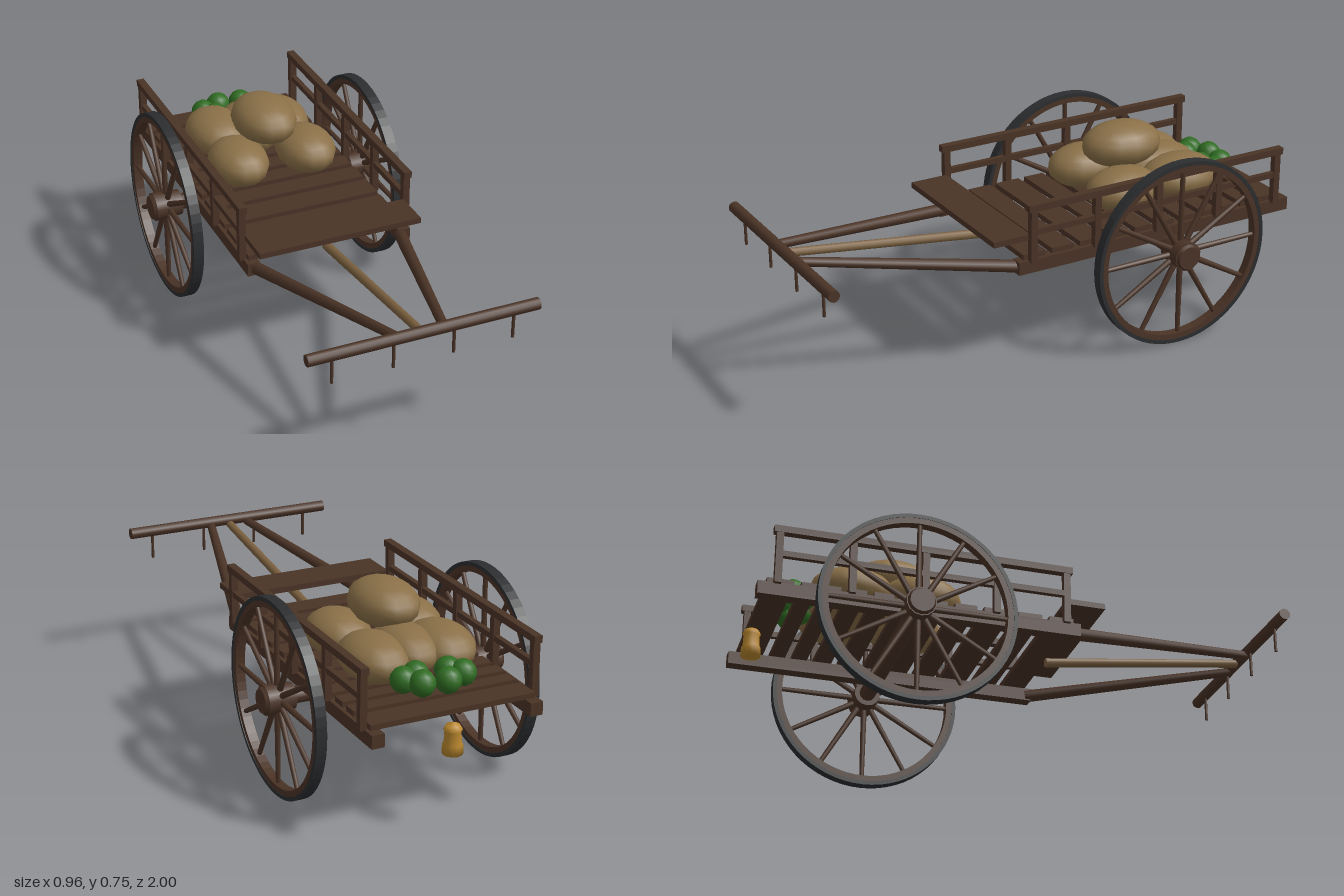
import * as THREE from 'three';

const mat = (name, color) => {
  const m = new THREE.MeshStandardMaterial({ color });
  m.name = name;
  return m;
};

export function createModel() {
  const cart = new THREE.Group();
  cart.name = 'cart';
  const wood = mat('dark wood', 0x4a3326);
  const iron = mat('iron', 0x2b2d2f);
  const paleWood = mat('pale wood', 0x7a5f3e);
  const sackCloth = mat('sackcloth', 0x8a7048);
  const green = mat('melon green', 0x2f6b22);
  const brass = mat('brass', 0xb8862e);

  const add = (name, geo, material, x = 0, y = 0, z = 0, parent = cart) => {
    const m = new THREE.Mesh(geo, material);
    m.name = name;
    m.position.set(x, y, z);
    parent.add(m);
    return m;
  };
  const box = (name, w, h, d, x, y, z) => add(name, new THREE.BoxGeometry(w, h, d), wood, x, y, z);

  // Round bar between two points
  const bar = (name, a, b, r0, r1, material, parent = cart, sides = 10) => {
    const p = new THREE.Vector3(...a), q = new THREE.Vector3(...b);
    const m = add(name, new THREE.CylinderGeometry(r1, r0, p.distanceTo(q), sides), material, 0, 0, 0, parent);
    m.position.copy(p).add(q).multiplyScalar(0.5);
    m.quaternion.setFromUnitVectors(new THREE.Vector3(0, 1, 0), q.sub(p).normalize());
    return m;
  };

  // Flat ring centred on z = 0
  const ring = (outer, inner, width) => {
    const s = new THREE.Shape();
    s.absarc(0, 0, outer, 0, Math.PI * 2);
    const hole = new THREE.Path();
    hole.absarc(0, 0, inner, 0, Math.PI * 2, true);
    s.holes.push(hole);
    const g = new THREE.ExtrudeGeometry(s, { depth: width, bevelEnabled: false, curveSegments: 32 });
    return g.translate(0, 0, -width / 2);
  };

  // Bed: slats of uneven width, given by the gaps between them
  const gaps = [-0.98, -0.855, -0.77, -0.685, -0.59, -0.49, -0.39, -0.29, -0.18, -0.05, 0.07, 0.19];
  for (let i = 0; i < gaps.length - 1; i++) {
    const depth = gaps[i + 1] - gaps[i] - 0.027;
    box('bedSlat', 0.63, 0.02, depth, 0, 0.447, (gaps[i] + gaps[i + 1]) / 2);
  }
  // Driver's board
  box('seatBoard', 0.64, 0.022, 0.15, 0, 0.525, 0.225);

  for (const s of [-1, 1]) {
    // Side beam, shaft and fence
    box('sideBeam', 0.048, 0.05, 1.2, s * 0.303, 0.41, -0.4);
    bar('shaft', [s * 0.295, 0.407, 0.18], [s * 0.08, 0.525, 0.97], 0.024, 0.017, wood);
    box('topRail', 0.03, 0.026, 1.12, s * 0.329, 0.643, -0.393);
    box('middleRail', 0.02, 0.022, 1.1, s * 0.329, 0.548, -0.393);
    for (let i = 0; i < 5; i++) box('fencePost', 0.026, 0.22, 0.026, s * 0.329, 0.54, 0.145 - i * 0.269);
    for (const x of [0.113, 0.34]) bar('yokePeg', [s * x, 0.425, 0.975], [s * x, 0.54, 0.975], 0.006, 0.006, wood, cart, 8);

    // Wheel, built facing z and turned to face sideways
    const wheel = new THREE.Group();
    wheel.name = s > 0 ? 'leftWheel' : 'rightWheel';
    wheel.position.set(s * 0.415, 0.366, -0.44);
    wheel.rotation.y = s * Math.PI / 2;
    cart.add(wheel);
    add('tyre', ring(0.365, 0.35, 0.04), iron, 0, 0, 0, wheel);
    add('rim', ring(0.351, 0.328, 0.036), wood, 0, 0, 0, wheel);
    for (let i = 0; i < 12; i++) {
      const a = i * Math.PI / 6, c = Math.cos(a), n = Math.sin(a);
      bar('spoke', [c * 0.03, n * 0.03, 0], [c * 0.335, n * 0.335, 0], 0.012, 0.009, wood, wheel, 8);
    }
    bar('hub', [0, 0, -0.055], [0, 0, 0.052], 0.05, 0.056, wood, wheel, 14);
    bar('hubCap', [0, 0, 0.05], [0, 0, 0.064], 0.053, 0.045, wood, wheel, 14);
  }
  bar('axle', [-0.38, 0.366, -0.44], [0.38, 0.366, -0.44], 0.031, 0.031, wood, cart, 12);

  // Yoke and centre pole
  bar('yoke', [-0.433, 0.54, 0.977], [0.433, 0.54, 0.977], 0.022, 0.022, wood, cart, 12);
  bar('centrePole', [0, 0.42, 0.17], [0, 0.525, 0.965], 0.018, 0.016, paleWood);

  // Load of sacks: centre then radii
  const sacks = [
    [-0.14, 0.54, -0.36, 0.115, 0.085, 0.15], [0.14, 0.54, -0.36, 0.115, 0.085, 0.15],
    [-0.13, 0.54, -0.62, 0.12, 0.085, 0.16], [0.13, 0.54, -0.62, 0.12, 0.085, 0.16],
    [0, 0.545, -0.6, 0.11, 0.085, 0.165], [0, 0.662, -0.44, 0.123, 0.086, 0.163],
  ];
  for (const [x, y, z, rx, ry, rz] of sacks) {
    add('sack', new THREE.SphereGeometry(1, 14, 10), sackCloth, x, y, z).scale.set(rx, ry, rz);
  }

  // Melons behind the sacks
  for (const [x, z] of [[-0.105, -0.835], [-0.027, -0.872], [0.066, -0.86], [0.11, -0.805], [-0.07, -0.79], [0.05, -0.78]]) {
    add('melon', new THREE.SphereGeometry(0.048, 12, 8), green, x, 0.52, z);
  }

  // Lantern hung at the back
  const profile = [[0, 0.29], [0.037, 0.29], [0.036, 0.325], [0.031, 0.33], [0.029, 0.375], [0.034, 0.38], [0.025, 0.395], [0, 0.405]];
  const lantern = new THREE.LatheGeometry(profile.map(p => new THREE.Vector2(...p)), 12);
  add('lantern', lantern, brass, 0, 0, -0.96);

  return cart;
}
